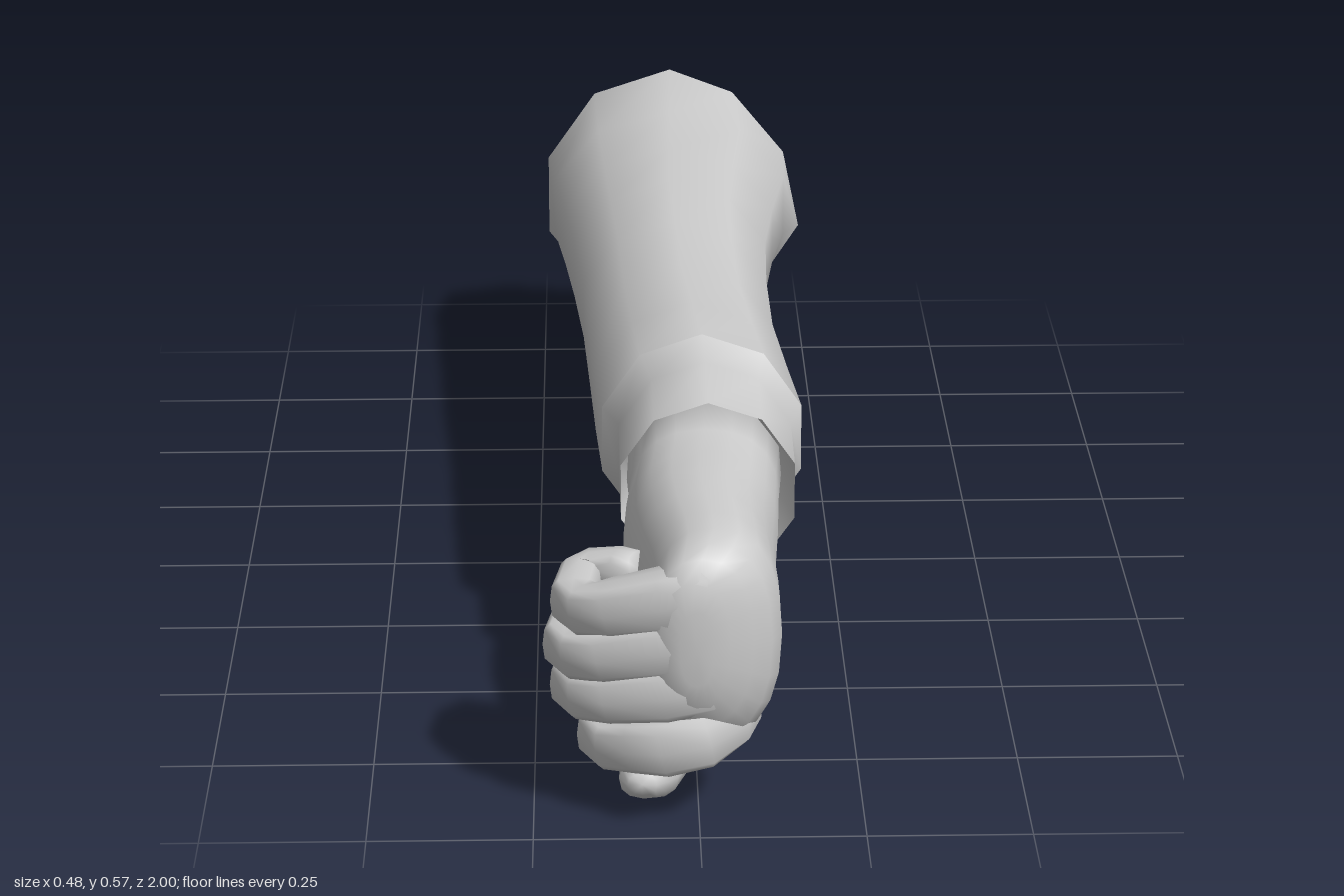
import * as THREE from 'three';

const material = new THREE.MeshStandardMaterial({ color: 0xcccccc, side: THREE.DoubleSide });

// Skin through rings [x, y, z, halfWidth, halfHeight]; straight rings all face +z, others follow the path.
function sweep(name, rings, { sides = 10, straight = false, capped = true, power = 1, shift } = {}) {
  const pos = [], index = [], n = rings.length;
  const centres = rings.map(r => new THREE.Vector3(r[0], r[1], r[2]));
  rings.forEach((r, i) => {
    const t = straight ? new THREE.Vector3(0, 0, 1)
      : centres[Math.min(i + 1, n - 1)].clone().sub(centres[Math.max(i - 1, 0)]).normalize();
    const side = new THREE.Vector3(0, 1, 0).cross(t).normalize();
    const up = t.clone().cross(side);
    for (let j = 0; j < sides; j++) {
      const a = Math.PI / 2 + (j / sides) * Math.PI * 2;
      const c = Math.sign(Math.cos(a)) * Math.abs(Math.cos(a)) ** power;
      const s = Math.sign(Math.sin(a)) * Math.abs(Math.sin(a)) ** power;
      const p = centres[i].clone().addScaledVector(side, c * r[3]).addScaledVector(up, s * r[4]);
      if (shift) shift(p, i, c, s);
      pos.push(p.x, p.y, p.z);
    }
  });
  for (let i = 0; i < n - 1; i++) for (let j = 0; j < sides; j++) {
    const a = i * sides + j, b = i * sides + (j + 1) % sides;
    index.push(a, b, b + sides, a, b + sides, a + sides);
  }
  if (capped) {
    for (const [i, flip] of [[0, true], [n - 1, false]]) {
      const m = pos.length / 3;
      pos.push(...centres[i].toArray());
      for (let j = 0; j < sides; j++) {
        const a = i * sides + j, b = i * sides + (j + 1) % sides;
        index.push(m, flip ? b : a, flip ? a : b);
      }
    }
  }
  const g = new THREE.BufferGeometry();
  g.setAttribute('position', new THREE.Float32BufferAttribute(pos, 3));
  g.setIndex(index);
  g.computeVertexNormals();
  const mesh = new THREE.Mesh(g, material);
  mesh.name = name;
  return mesh;
}

// Ring given by its extents at depth z
const ring = (z, x0, x1, y0, y1) => [(x0 + x1) / 2, (y0 + y1) / 2, z, (x1 - x0) / 2, (y1 - y0) / 2];

export function createModel() {
  const model = new THREE.Group();
  model.name = 'arm';

  // Flared sleeve, open at the rear, with a slanted rim
  model.add(sweep('sleeve', [
    ring(-1, -0.25, 0.235, 0.11, 0.57),
    ring(-0.8, -0.235, 0.212, 0.183, 0.55),
    ring(-0.6, -0.215, 0.182, 0.21, 0.547),
    ring(-0.4, -0.197, 0.16, 0.225, 0.555),
    ring(-0.2, -0.18, 0.153, 0.228, 0.55),
    ring(0, -0.17, 0.155, 0.228, 0.547),
    ring(0.2, -0.16, 0.172, 0.213, 0.553),
    ring(0.35, -0.15, 0.187, 0.198, 0.557),
  ], {
    straight: true, capped: false,
    shift: (p, i, c, s) => {
      if (i > 0) return;
      p.x -= 0.05 * s * Math.max(0, c);
      p.z += 0.03 * (1 - s) + 0.03 * Math.max(0, -c) ** 4;
    },
  }));

  // Narrower cuff, stepping in from the sleeve and turned inward to the wrist
  const rim = ring(0.53, -0.12, 0.167, 0.212, 0.512);
  model.add(sweep('cuff', [
    ring(0.35, -0.15, 0.187, 0.198, 0.557),
    ring(0.39, -0.122, 0.167, 0.22, 0.525),
    rim,
  ], { straight: true, capped: false }));
  model.add(sweep('cuffLining', [
    rim,
    ring(0.42, -0.105, 0.145, 0.225, 0.48),
  ], { straight: true, capped: false }));

  // Wrist and back of the hand, rounding over at the knuckles
  const hand = new THREE.Group();
  hand.name = 'fist';
  model.add(hand);
  hand.add(sweep('palm', [
    ring(0.41, -0.105, 0.145, 0.225, 0.48),
    ring(0.53, -0.1, 0.135, 0.23, 0.468),
    ring(0.62, -0.11, 0.13, 0.19, 0.468),
    ring(0.7, -0.11, 0.123, 0.135, 0.474),
    ring(0.78, -0.1, 0.122, 0.12, 0.474),
    ring(0.86, -0.085, 0.124, 0.118, 0.474),
    ring(0.91, -0.08, 0.124, 0.122, 0.47),
    ring(0.945, -0.08, 0.108, 0.14, 0.46),
    ring(0.97, -0.075, 0.08, 0.175, 0.445),
    ring(0.988, -0.06, 0.045, 0.215, 0.415),
    ring(0.995, -0.03, 0.02, 0.25, 0.37),
  ], { straight: true, sides: 20, power: 0.85 }));

  // Four curled fingers: [name, outer x, y at the bend, slope]
  const fingers = [
    ['littleFinger', -0.22, 0.335, 0.29],
    ['ringFinger', -0.232, 0.264, 0.25],
    ['middleFinger', -0.222, 0.197, 0.22],
    ['indexFinger', -0.182, 0.112, 0.25],
  ];
  for (const [name, x, y, slope] of fingers) {
    const at = (dx, z, w, h) => [x + dx, y + slope * Math.max(0, dx - 0.04), z, w, h];
    const knuckle = -x;
    hand.add(sweep(name, [
      at(knuckle + 0.07, 0.87, 0.03, 0.035),
      at(knuckle + 0.045, 0.91, 0.04, 0.042),
      at(knuckle, 0.948, 0.044, 0.047),
      at(knuckle - 0.05, 0.95, 0.043, 0.046),
      at(0.09, 0.928, 0.04, 0.041),
      at(0.052, 0.908, 0.037, 0.037),
      at(0.034, 0.87, 0.036, 0.036),
      at(0.045, 0.8, 0.034, 0.036),
      at(0.065, 0.785, 0.034, 0.034),
      at(0.105, 0.8, 0.03, 0.032),
      at(0.13, 0.815, 0.022, 0.026),
    ], { sides: 12, power: 0.6 }));
  }

  // Thumb tucked beneath the fist
  hand.add(sweep('thumb', [
    [0.015, 0.28, 0.57, 0.07, 0.05],
    [0.01, 0.21, 0.63, 0.09, 0.07],
    [-0.005, 0.135, 0.685, 0.08, 0.075],
    [-0.03, 0.08, 0.75, 0.062, 0.063],
    [-0.06, 0.05, 0.82, 0.05, 0.05],
    [-0.075, 0.047, 0.88, 0.046, 0.038],
    [-0.083, 0.06, 0.925, 0.038, 0.028],
    [-0.086, 0.068, 0.955, 0.022, 0.016],
  ], { sides: 12, power: 0.85 }));

  return model;
}
